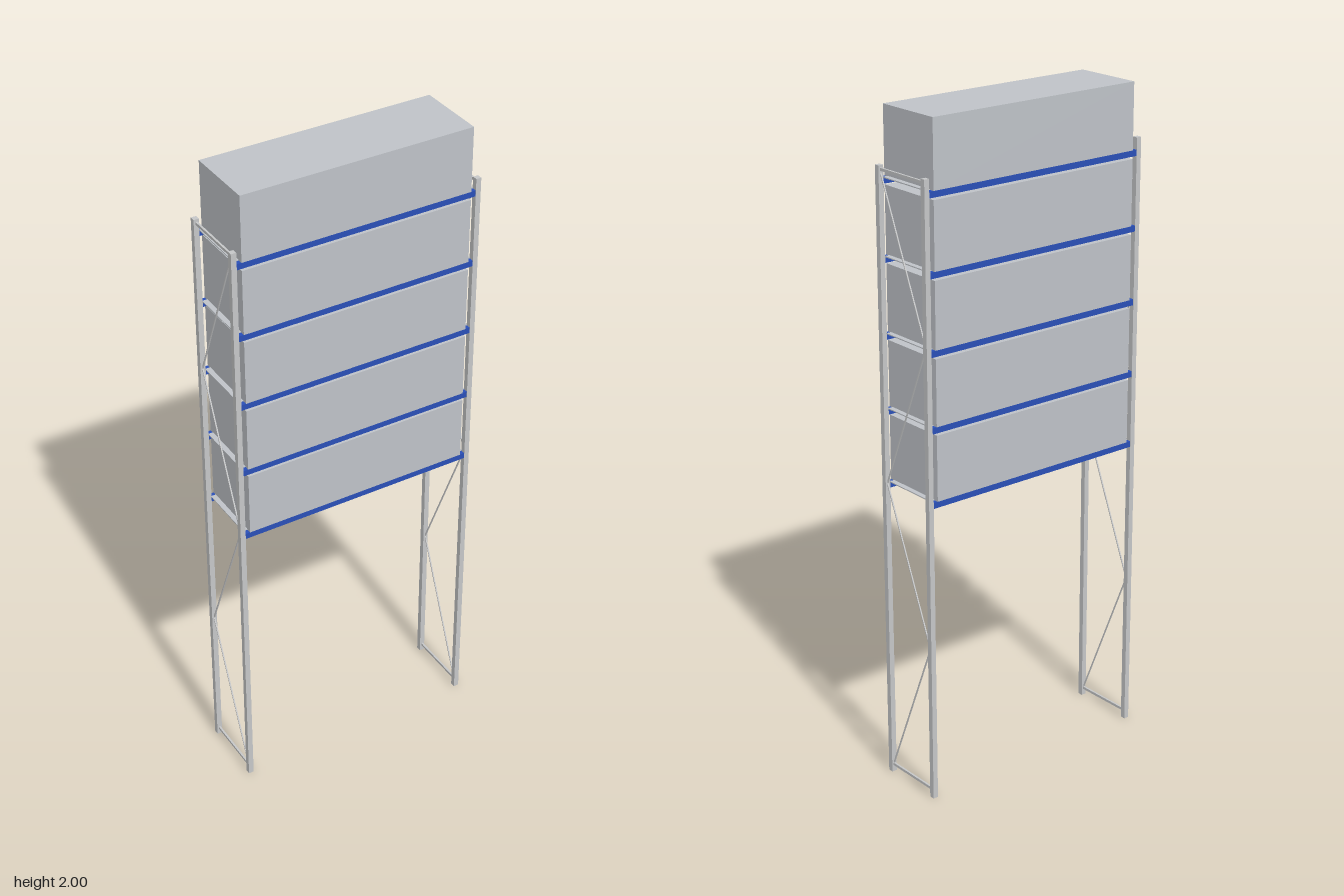
import * as THREE from 'three';

export function createModel() {
  const model = new THREE.Group();
  model.name = 'palletRack';
  const mat = (name, color) => {
    const m = new THREE.MeshStandardMaterial({ color });
    m.name = name;
    return m;
  };
  const steel = mat('light grey steel', 0xc6c7c8);
  const load = mat('cool grey load', 0xbfc3c8);
  const blue = mat('beam blue', 0x2a50b8);

  // Box given by size and centre
  const box = (name, m, [w, h, d], [x, y, z], parent = model) => {
    const mesh = new THREE.Mesh(new THREE.BoxGeometry(w, h, d), m);
    mesh.name = name;
    mesh.position.set(x, y, z);
    parent.add(mesh);
    return mesh;
  };

  const postX = 0.375, postZ = 0.1, postW = 0.016, postH = 1.84;
  const firstLevel = 0.927, pitch = 0.2195, loadH = 0.195;

  // End frames: two posts, horizontal ties and zigzag bracing
  for (const side of [-1, 1]) {
    const frame = new THREE.Group();
    frame.name = side > 0 ? 'leftFrame' : 'rightFrame';
    model.add(frame);
    const x = side * postX;
    for (const z of [-postZ, postZ]) {
      box('post', steel, [postW, postH, postW], [x, postH / 2, z], frame);
    }
    for (const y of [0.024, 1.829]) {
      box('tie', steel, [0.006, 0.008, 0.186], [x, y, 0], frame);
    }
    const nodes = [0.025, 0.475, 0.925, 1.372, 1.82];
    for (let i = 0; i < 4; i++) {
      const dir = i % 2 ? 1 : -1;
      const dz = dir * 0.188, dy = nodes[i + 1] - nodes[i];
      const brace = box('diagonalBrace', steel, [0.004, Math.hypot(dy, dz), 0.003],
        [x, (nodes[i] + nodes[i + 1]) / 2, 0], frame);
      brace.rotation.x = Math.atan2(dz, dy);
    }
  }

  // Levels: front and back beams, thin deck and the load on top
  for (let i = 0; i < 5; i++) {
    const y = firstLevel + i * pitch;
    const level = new THREE.Group();
    level.name = 'level' + (i + 1);
    model.add(level);
    for (const z of [-postZ, postZ]) {
      box('beam', blue, [0.736, 0.018, 0.014], [0, y - 0.009, z], level);
    }
    box('deck', load, [0.736, 0.003, 0.186], [0, y + 0.0005, 0], level);
    box('load', load, [0.705, loadH, 0.215], [0, y + loadH / 2, 0], level);
  }
  return model;
}
